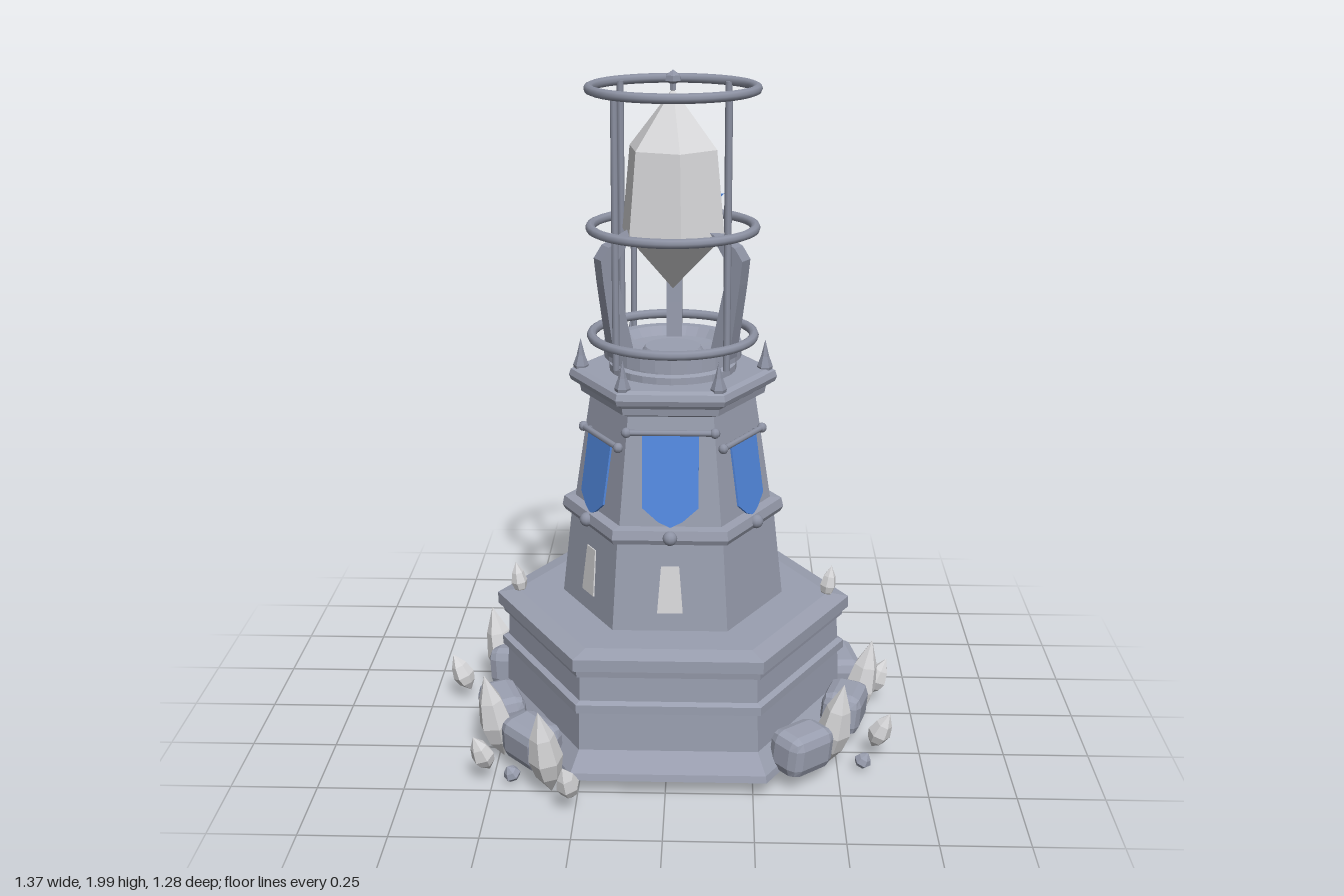
import * as THREE from 'three';
import { RoundedBoxGeometry } from 'three/addons/geometries/RoundedBoxGeometry.js';

const mat = (name, color) => Object.assign(new THREE.MeshStandardMaterial({ color }), { name });
const D = Math.PI / 180;

export function createModel() {
  const stone = mat('stone', 0x9a9fb0);
  const metal = mat('metal', 0x8d92a3);
  const crystal = mat('pale crystal', 0xd8d8da);
  const blue = mat('blue cloth', 0x5288de);
  stone.side = THREE.DoubleSide; // the base is an open shell
  blue.side = THREE.DoubleSide;

  const model = new THREE.Group();
  const tower = new THREE.Group();
  tower.name = 'tower';
  tower.position.set(0.008, 0, 0.034);
  model.add(tower);

  // Facet a geometry
  const flat = (g) => {
    const f = g.index ? g.toNonIndexed() : g;
    f.computeVertexNormals();
    return f;
  };
  const add = (parent, name, geo, material, x = 0, y = 0, z = 0) => {
    const m = new THREE.Mesh(geo, material);
    m.name = name;
    m.position.set(x, y, z);
    parent.add(m);
    return m;
  };
  const lathe = (pts, sides, start = 0) =>
    flat(new THREE.LatheGeometry(pts.map(([r, y]) => new THREE.Vector2(r, y)), sides, start));
  const plate = (pts, depth) => {
    const g = new THREE.ExtrudeGeometry(new THREE.Shape(pts.map(([x, y]) => new THREE.Vector2(x, y))),
      { depth, bevelEnabled: false });
    return g.translate(0, 0, -depth / 2);
  };
  // Pivot whose +z points outward at an angle from the front
  const facing = (deg, name) => {
    const g = new THREE.Group();
    g.name = name;
    g.rotation.y = deg * D;
    tower.add(g);
    return g;
  };

  // Hexagonal base, hollow below, with flared foot, band and rim
  add(tower, 'base', lathe([[0.56, 0.06], [0.555, 0.08], [0.51, 0.135], [0.505, 0.25],
    [0.522, 0.255], [0.522, 0.28], [0.503, 0.287], [0.5, 0.36], [0.515, 0.365], [0.518, 0.385],
    [0.533, 0.39], [0.533, 0.425], [0.47, 0.437], [0, 0.437]], 6, 30 * D), stone);

  // Tapered hexagonal tower body with middle band and cornice
  add(tower, 'body', lathe([[0.332, 0.43], [0.302, 0.7], [0.322, 0.7], [0.33, 0.715], [0.324, 0.742],
    [0.29, 0.745], [0.242, 1.06], [0.268, 1.07], [0.272, 1.09], [0.28, 1.1], [0.298, 1.105],
    [0.304, 1.12], [0.298, 1.138], [0.28, 1.145], [0, 1.145]], 6, 30 * D), stone);

  // Round drum with a shallow dish
  add(tower, 'drum', lathe([[0.185, 1.14], [0.185, 1.165], [0.168, 1.17], [0.168, 1.18],
    [0.2, 1.185], [0.2, 1.225], [0.17, 1.225], [0.15, 1.2], [0.09, 1.195], [0.08, 1.21], [0, 1.21]], 28), stone);

  // Buttress strips on the three rear faces
  for (const deg of [120, 180, 240]) {
    const side = facing(deg, 'buttresses');
    for (const s of [-1, 1]) {
      add(side, 'upperButtress', new THREE.BoxGeometry(0.03, 0.08, 0.03), stone, s * 0.135, 0.325, 0.438);
      add(side, 'lowerButtress', new THREE.BoxGeometry(0.03, 0.13, 0.03), stone, s * 0.135, 0.19, 0.445);
    }
  }

  // Studs on the middle band, spikes on the cornice corners
  const stud = new THREE.SphereGeometry(0.021, 12, 8);
  const spike = lathe([[0.02, 0], [0.023, 0.015], [0.012, 0.045], [0, 0.095]], 6);
  for (let i = 0; i < 6; i++) {
    add(facing(i * 60, 'bandStud'), 'stud', stud, metal, 0, 0.722, 0.285);
    add(facing(i * 60 + 30, 'corniceSpike'), 'spike', spike, metal, 0, 1.135, 0.268);
  }

  // Banners on the three front faces
  const cloth = plate([[-0.08, 0], [-0.08, -0.215], [-0.035, -0.255], [0, -0.272], [0.035, -0.255],
    [0.08, -0.215], [0.08, 0]], 0.006);
  const rod = new THREE.CylinderGeometry(0.009, 0.009, 0.25, 8).rotateZ(90 * D);
  const knob = new THREE.SphereGeometry(0.015, 8, 6);
  for (const [deg, y, wide, len] of [[-60, 0.968, 0.9, 0.85], [0, 1.018, 1, 1], [60, 0.968, 0.9, 0.85]]) {
    const hang = new THREE.Group();
    hang.name = 'hangingBanner';
    hang.position.set(0, y, 0.23 + (1.018 - y) * 0.14);
    hang.rotation.x = -0.15;
    facing(deg, 'banner').add(hang);
    add(hang, 'bannerCloth', cloth, blue).scale.set(wide, len, 1);
    add(hang, 'bannerRod', rod, metal).scale.x = wide;
    for (const s of [-1, 1]) {
      add(hang, 'rodKnob', knob, metal, s * 0.125 * wide, 0, 0);
      add(hang, 'rodBracket', new THREE.BoxGeometry(0.012, 0.012, 0.03), metal, s * 0.1 * wide, 0, -0.015);
    }
  }

  // Pale windows on two faces
  for (const deg of [0, -60]) {
    const w = add(facing(deg, 'window'), 'windowPane',
      plate([[-0.037, -0.07], [0.037, -0.07], [0.026, 0.07], [-0.026, 0.07]], 0.008), crystal, 0, 0.56, 0.275);
    w.rotation.x = -0.096;
  }

  // Lantern cage: three rings and four posts
  for (const y of [1.245, 1.56, 1.95]) {
    add(tower, 'cageRing', new THREE.TorusGeometry(0.235, 0.014, 8, 40).rotateX(90 * D), metal, 0, y, 0);
  }
  for (let i = 0; i < 4; i++) {
    add(facing(45 + i * 90, 'cage'), 'cagePost', new THREE.CylinderGeometry(0.01, 0.01, 0.77, 8), metal, 0, 1.565, 0.22);
  }

  // Three claws below the great crystal
  const claw = plate([[0.135, 1.2], [0.2, 1.2], [0.215, 1.3], [0.232, 1.42], [0.24, 1.49], [0.215, 1.525],
    [0.135, 1.56], [0.19, 1.48], [0.18, 1.4], [0.158, 1.3]], 0.046);
  for (const deg of [60, 180, 300]) add(tower, 'claw', claw, metal).rotation.y = (deg - 90) * D;

  // Great crystal and finial
  add(tower, 'greatCrystal', lathe([[0, 1.38], [0.156, 1.545], [0.132, 1.785], [0, 1.95]], 6, 10 * D), crystal);
  add(tower, 'finial', lathe([[0, 1.94], [0.01, 1.945], [0.01, 1.962], [0.024, 1.97], [0.022, 1.985], [0, 2]], 6), metal);

  // Flag pole and pennant behind the lantern
  add(model, 'flagPole', new THREE.CylinderGeometry(0.009, 0.009, 0.54, 8), metal, -0.115, 1.41, -0.187);
  add(model, 'flagPoleTip', lathe([[0, 0], [0.022, 0.005], [0.014, 0.02], [0, 0.04]], 6), metal, -0.115, 1.67, -0.187);
  const pennant = add(model, 'pennant', plate([[0, 0], [0, 0.135], [0.12, 0.115], [0.275, 0.125], [0.17, 0.02]], 0.005),
    blue, -0.115, 1.5, -0.187);
  pennant.rotation.y = -0.22;

  // Boulders around the foot: x, z, length
  for (const [x, z, len] of [[-0.11, -0.487, 0.18], [0.145, -0.487, 0.19], [-0.375, -0.337, 0.2],
    [-0.5, -0.13, 0.18], [-0.5, 0.195, 0.17], [-0.39, 0.39, 0.17], [0.42, -0.32, 0.19],
    [0.525, -0.11, 0.19], [0.53, 0.15, 0.17], [0.39, 0.41, 0.17]]) {
    const b = add(model, 'boulder', flat(new RoundedBoxGeometry(len, 0.125, 0.12, 1, 0.032)), stone, x, 0.115, z);
    b.rotation.set(0.08, Math.atan2(x, z), len > 0.175 ? 0.06 : -0.05, 'YXZ');
  }

  // Shards, centred at their middle and leaning outward
  const shardGeo = lathe([[0, -0.5], [0.75, -0.28], [1, -0.08], [0.72, 0.2], [0, 0.5]], 6, 0.3);
  const shard = (name, material, x, y, z, r, h, tilt) => {
    const s = add(model, name, shardGeo, material, x, y, z);
    s.scale.set(r, h, r);
    s.rotation.set(tilt, Math.atan2(x, z), 0, 'YXZ');
  };
  for (const [x, z] of [[0.13, -0.53], [0.39, -0.41], [0.59, 0.05], [0.49, 0.335], [-0.34, 0.52],
    [-0.51, 0.31], [-0.545, -0.15], [-0.3, -0.465]]) shard('largeShard', crystal, x, 0.15, z, 0.05, 0.28, 0.2);
  for (const [x, z] of [[0.03, -0.61], [0.36, -0.55], [0.65, -0.07], [0.63, 0.28], [-0.27, 0.61],
    [-0.53, 0.45], [-0.66, -0.06], [-0.42, -0.44]]) shard('smallShard', crystal, x, 0.105, z, 0.034, 0.13, 0.42);
  for (const [x, z] of [[-0.225, -0.375], [0.245, -0.375], [-0.46, 0.034], [0.48, 0.034]]) {
    shard('rimShard', crystal, x, 0.47, z, 0.025, 0.11, 0.15);
  }
  for (const [x, z] of [[0.09, -0.59], [0.45, -0.44], [0.575, 0.35], [-0.445, 0.455]]) {
    shard('pebble', stone, x, 0.045, z, 0.026, 0.06, 0.5);
  }
  return model;
}
